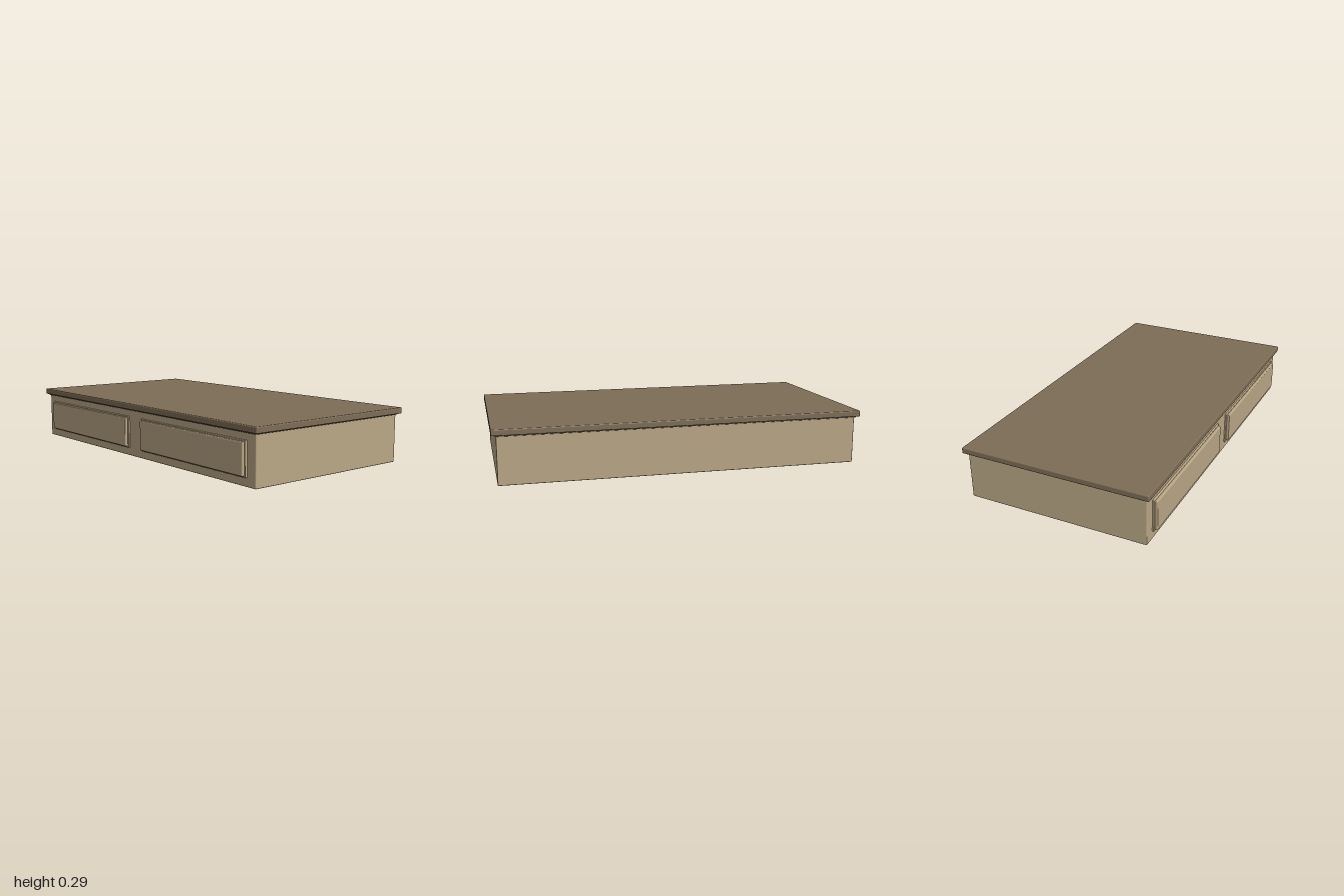
import * as THREE from 'three';
import { RoundedBoxGeometry } from 'three/addons/geometries/RoundedBoxGeometry.js';

export function createModel() {
  const model = new THREE.Group();
  model.name = 'lowDrawerCabinet';

  const paleWood = new THREE.MeshStandardMaterial({ name: 'paleWood', color: 0xb9a685 });
  const darkWood = new THREE.MeshStandardMaterial({ name: 'darkWood', color: 0x7d6d56 });

  // Box with softened edges, given by its lower and upper limits
  function block(name, material, [x0, x1], [y0, y1], [z0, z1], radius, parent = model) {
    const geometry = new RoundedBoxGeometry(x1 - x0, y1 - y0, z1 - z0, 2, radius);
    const mesh = new THREE.Mesh(geometry, material);
    mesh.name = name;
    mesh.position.set((x0 + x1) / 2, (y0 + y1) / 2, (z0 + z1) / 2);
    parent.add(mesh);
  }

  // Carcass
  block('body', paleWood, [-0.975, 0.975], [0, 0.262], [-0.502, 0.498], 0.005);

  // Moulding and overhanging top
  block('topMoulding', darkWood, [-0.982, 0.982], [0.255, 0.275], [-0.508, 0.505], 0.004);
  block('topSlab', darkWood, [-1, 1], [0.262, 0.295], [-0.522, 0.519], 0.006);

  // Two drawer fronts, each a thin flange with a raised panel
  for (const [side, x] of [['right', -0.488], ['left', 0.488]]) {
    const drawer = new THREE.Group();
    drawer.name = side + 'Drawer';
    drawer.position.x = x;
    block('drawerFlange', paleWood, [-0.428, 0.428], [0.043, 0.22], [0.48, 0.507], 0.004, drawer);
    block('drawerPanel', paleWood, [-0.418, 0.418], [0.051, 0.213], [0.49, 0.522], 0.005, drawer);
    model.add(drawer);
  }

  return model;
}
